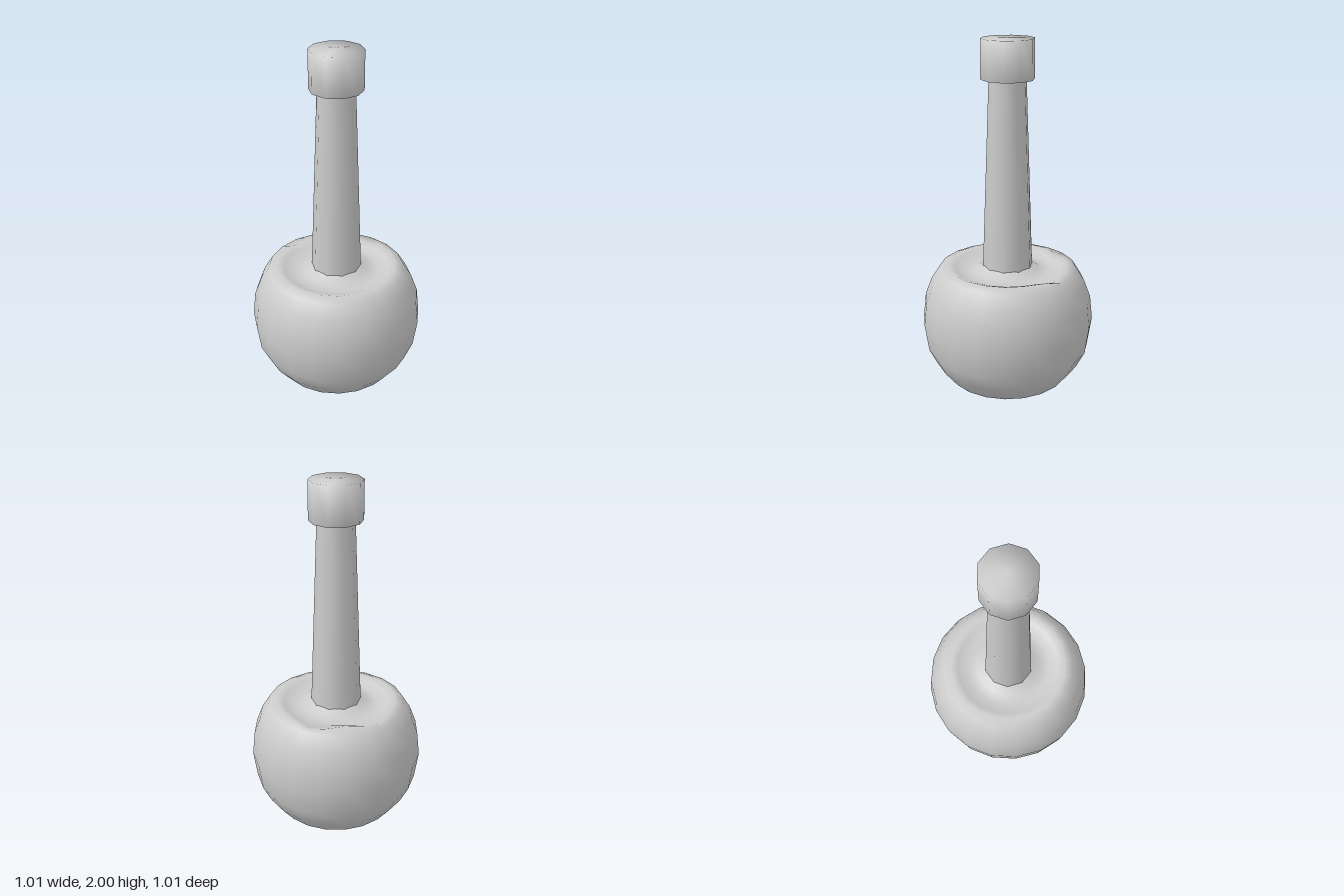
import * as THREE from 'three';

const material = new THREE.MeshStandardMaterial({ color: 0xcccccc });

// Smooth turned part; profile runs as [radius, height] pairs from bottom to top.
function turned(name, profile, sides, start = 0) {
  const points = profile.map(([r, y]) => new THREE.Vector2(r, y));
  const mesh = new THREE.Mesh(new THREE.LatheGeometry(points, sides, start), material);
  mesh.name = name;
  return mesh;
}

export function createModel() {
  const group = new THREE.Group();
  group.name = 'bulbWithStem';

  // Round body with a hollow underside and a shallow moat around the stem
  const body = turned('body', [
    [0, 0.08], [0.15, 0.08], [0.27, 0.05], [0.32, 0.01], [0.355, 0.005],
    [0.43, 0.1], [0.48, 0.2], [0.503, 0.36], [0.488, 0.5], [0.45, 0.6],
    [0.4, 0.68], [0.35, 0.7], [0.31, 0.685], [0.25, 0.66], [0.19, 0.67],
    [0.14, 0.7],
  ], 20);

  // Slight unevenness in the rim: two low spots either side of the back
  const pos = body.geometry.attributes.position;
  for (let i = 0; i < pos.count; i++) {
    const x = pos.getX(i), y = pos.getY(i), z = pos.getZ(i);
    const r = Math.hypot(x, z);
    if (y < 0.64 || r < 0.28 || r > 0.38) continue;
    const fromBack = Math.abs(Math.atan2(x, -z));
    const dip = Math.max(0, 1 - Math.abs(fromBack - 0.6) / 0.4);
    pos.setY(i, y - 0.03 * dip + (fromBack < 0.1 ? 0.01 : 0));
  }

  // Tapered stem
  const stem = turned('stem', [[0.148, 0.64], [0.145, 0.7], [0.105, 1.79]], 10, 0.2);

  // Cap at the top of the stem
  const cap = turned('cap', [
    [0.1, 1.78], [0.15, 1.78], [0.15, 2], [0, 2],
  ], 10, 0.2);

  group.add(body, stem, cap);
  return group;
}
